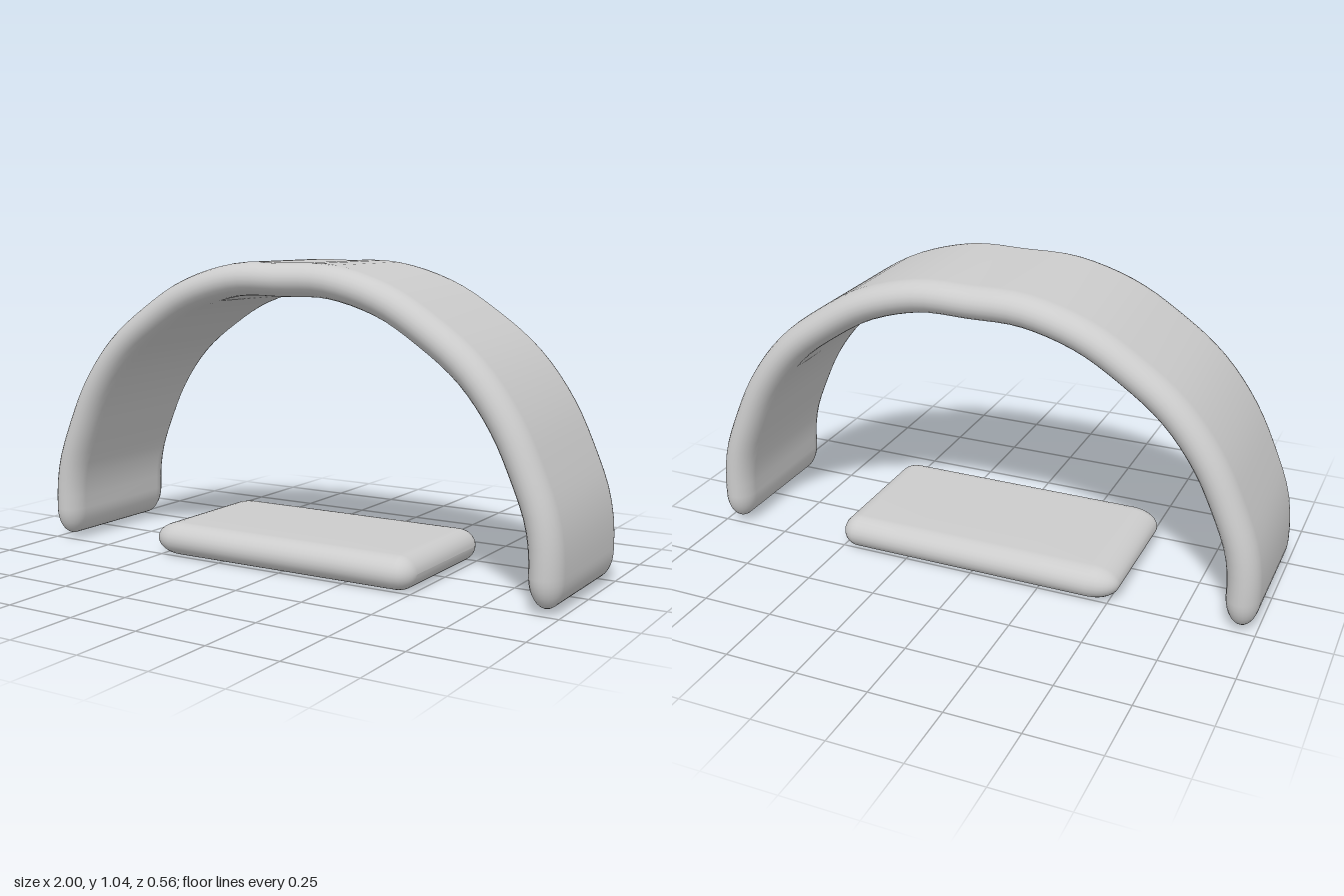
import * as THREE from 'three';

const HALF_DEPTH = 0.28;   // half width of both bands along z
const EDGE = 0.07;         // rounding of the long edges along z
const CORNER_STEPS = 6;
const CAP_STEPS = 8;

// Sweeps a rounded slab section along a path in the xy plane, with rounded ends
function sweepBand(points, halfThick, capStart, capEnd, samples) {
  const curve = new THREE.CatmullRomCurve3(points.map(([x, y]) => new THREE.Vector3(x, y, 0)));
  const rings = [];
  const addRing = (t, along, squeeze) => {
    const tangent = curve.getTangentAt(t);
    const centre = curve.getPointAt(t).addScaledVector(tangent, along);
    rings.push({ centre, tangent, squeeze });
  };
  for (let i = 0; i < CAP_STEPS; i++) {
    const a = (1 - i / CAP_STEPS) * Math.PI / 2;
    addRing(0, -capStart * Math.sin(a), Math.cos(a));
  }
  for (let i = 0; i <= samples; i++) addRing(i / samples, 0, 1);
  for (let i = 1; i <= CAP_STEPS; i++) {
    const a = (i / CAP_STEPS) * Math.PI / 2;
    addRing(1, capEnd * Math.sin(a), Math.cos(a));
  }

  // Section: four elliptical corners, (thickness, z side, z rounding)
  const section = [];
  for (let q = 0; q < 4; q++) {
    const side = q < 2 ? 1 : -1;
    for (let k = q % 2 ? 1 : 0; k <= CORNER_STEPS; k++) {
      const a = (q + k / CORNER_STEPS) * Math.PI / 2;
      section.push([Math.cos(a), side, Math.sin(a)]);
    }
  }

  const positions = [], index = [], n = section.length;
  for (const { centre, tangent, squeeze } of rings) {
    for (const [c, side, s] of section) {
      const out = c * halfThick * squeeze;
      positions.push(
        centre.x + tangent.y * out,
        centre.y - tangent.x * out,
        side * (HALF_DEPTH - EDGE) + s * EDGE * squeeze);
    }
  }
  for (let i = 0; i < rings.length - 1; i++) {
    for (let j = 0; j < n; j++) {
      const k = (j + 1) % n;
      const a = i * n + j, b = a + n, c = i * n + k, d = c + n;
      index.push(a, b, c, b, d, c);
    }
  }
  const geometry = new THREE.BufferGeometry();
  geometry.setAttribute('position', new THREE.Float32BufferAttribute(positions, 3));
  geometry.setIndex(index);
  geometry.computeVertexNormals();
  return geometry;
}

export function createModel() {
  const model = new THREE.Group();
  model.name = 'archAndPlate';
  const grey = new THREE.MeshStandardMaterial({ color: 0xcccccc });
  grey.name = 'light grey';

  const addPart = (name, geometry) => {
    const mesh = new THREE.Mesh(geometry, grey);
    mesh.name = name;
    model.add(mesh);
  };

  // Arch: half of the centre line, mirrored about x = 0
  const half = [
    [0.945, 0.12], [0.943, 0.2], [0.925, 0.3], [0.875, 0.43], [0.815, 0.555],
    [0.74, 0.665], [0.665, 0.745], [0.56, 0.825], [0.39, 0.926], [0.185, 0.985],
  ];
  const mirrored = half.map(([x, y]) => [-x, y]).reverse();
  addPart('arch', sweepBand([...half, [0, 0.988], ...mirrored], 0.056, 0.1, 0.1, 60));

  // Flat plate lying between the feet of the arch
  addPart('basePlate', sweepBand([[-0.43, 0.062], [0.44, 0.062]], 0.058, 0.1, 0.065, 4));

  return model;
}
